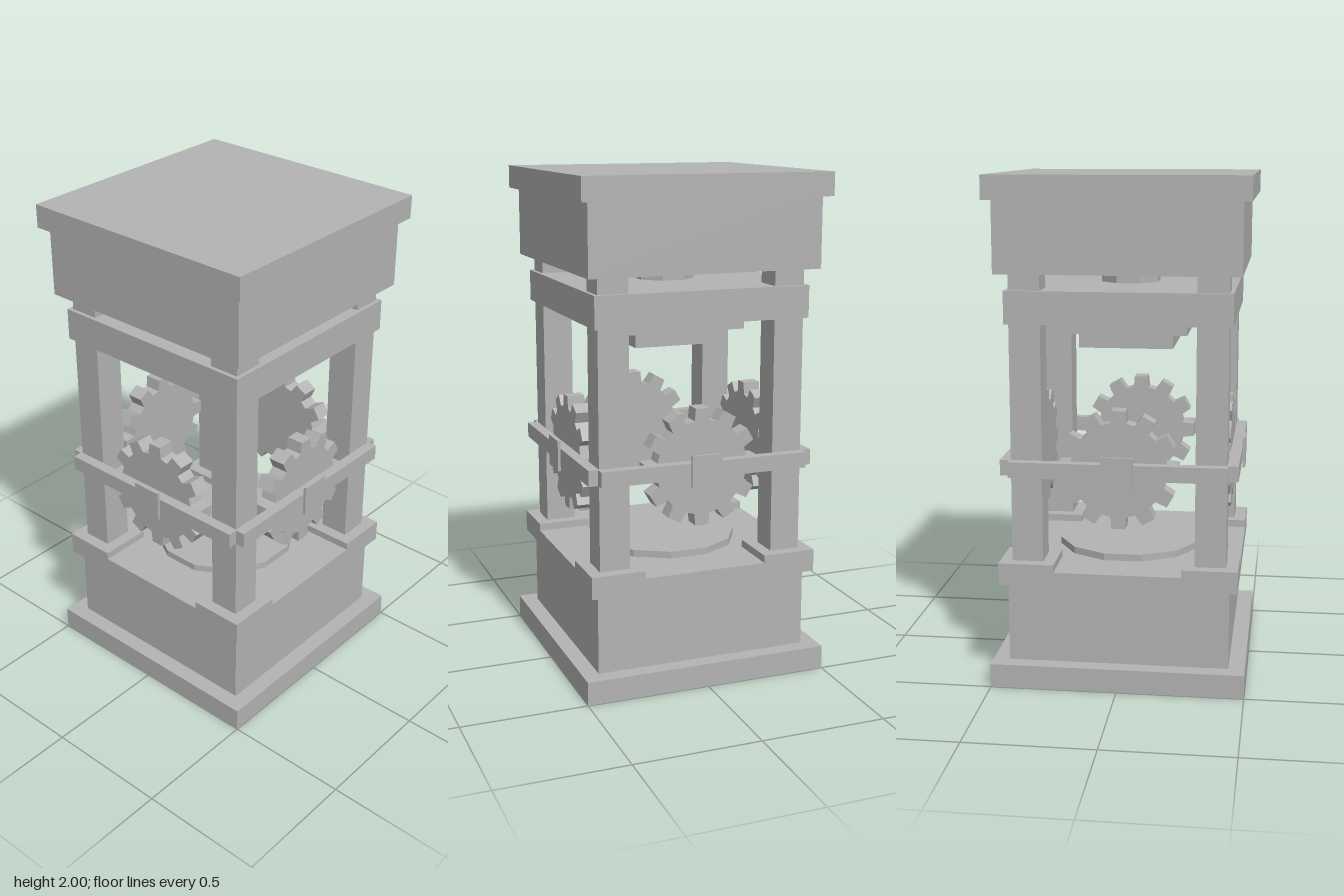
import * as THREE from 'three';

export function createModel() {
  const model = new THREE.Group();
  model.name = 'gearTower';
  const stone = new THREE.MeshStandardMaterial({ color: 0xb3b3b3 });
  stone.name = 'grey stone';
  stone.flatShading = true;

  const add = (parent, name, geometry, x = 0, y = 0, z = 0) => {
    const mesh = new THREE.Mesh(geometry, stone);
    mesh.name = name;
    mesh.position.set(x, y, z);
    parent.add(mesh);
    return mesh;
  };

  // Square slab centred on the axis, given its half width and its bottom and top
  const slab = (name, half, y0, y1) =>
    add(model, name, new THREE.BoxGeometry(half * 2, y1 - y0, half * 2), 0, (y0 + y1) / 2, 0);

  // Upright polygonal disc with a flat side or a corner set by the turn
  const disc = (name, radius, sides, y0, y1) => {
    const mesh = add(model, name, new THREE.CylinderGeometry(radius, radius, y1 - y0, sides), 0, (y0 + y1) / 2, 0);
    mesh.rotation.y = Math.PI / sides;
  };

  // Base
  slab('baseSlab', 0.5, 0, 0.095);
  slab('baseBlock', 0.435, 0.095, 0.413);
  slab('baseLedge', 0.468, 0.413, 0.472);
  disc('floorDisc', 0.295, 12, 0.472, 0.5);

  // Upper frame with hanging steps below and round steps above
  slab('lowerHangingStep', 0.187, 1.318, 1.38);
  slab('upperHangingStep', 0.248, 1.38, 1.44);
  slab('upperFrame', 0.436, 1.44, 1.567);
  disc('lowerCollar', 0.122, 8, 1.567, 1.6);
  disc('upperCollar', 0.176, 8, 1.6, 1.632);

  // Cap
  slab('capBlock', 0.468, 1.632, 1.908);
  slab('capSlab', 0.5, 1.908, 2);

  // Corner pillars standing on pads
  for (const sx of [-1, 1]) {
    for (const sz of [-1, 1]) {
      add(model, 'cornerPad', new THREE.BoxGeometry(0.218, 0.03, 0.218), sx * 0.359, 0.487, sz * 0.359);
      add(model, 'pillar', new THREE.BoxGeometry(0.122, 1.16, 0.122), sx * 0.359, 1.052, sz * 0.359);
    }
  }

  // Gear outline: twelve tapered teeth
  const teeth = 12;
  const outline = [];
  for (let i = 0; i < teeth; i++) {
    const middle = (i / teeth) * Math.PI * 2;
    for (const [radius, degrees] of [[0.188, -9.8], [0.235, -6.7], [0.235, 6.7], [0.188, 9.8]]) {
      const angle = middle + THREE.MathUtils.degToRad(degrees);
      outline.push(new THREE.Vector2(radius * Math.cos(angle), radius * Math.sin(angle)));
    }
  }
  const gearGeometry = new THREE.ExtrudeGeometry(new THREE.Shape(outline), { depth: 0.07, bevelEnabled: false });

  // One gear, crossbar and hub plate on each of the four sides
  ['front', 'left', 'back', 'right'].forEach((side, i) => {
    const assembly = new THREE.Group();
    assembly.name = side + 'GearAssembly';
    assembly.position.y = 0.878;
    assembly.rotation.y = (i * Math.PI) / 2;
    add(assembly, 'gear', gearGeometry, 0, 0, 0.35);
    add(assembly, 'crossbar', new THREE.BoxGeometry(0.85, 0.062, 0.043), 0, 0, 0.4415);
    add(assembly, 'hubPlate', new THREE.BoxGeometry(0.124, 0.124, 0.011), 0, 0, 0.4685);
    model.add(assembly);
  });

  return model;
}
